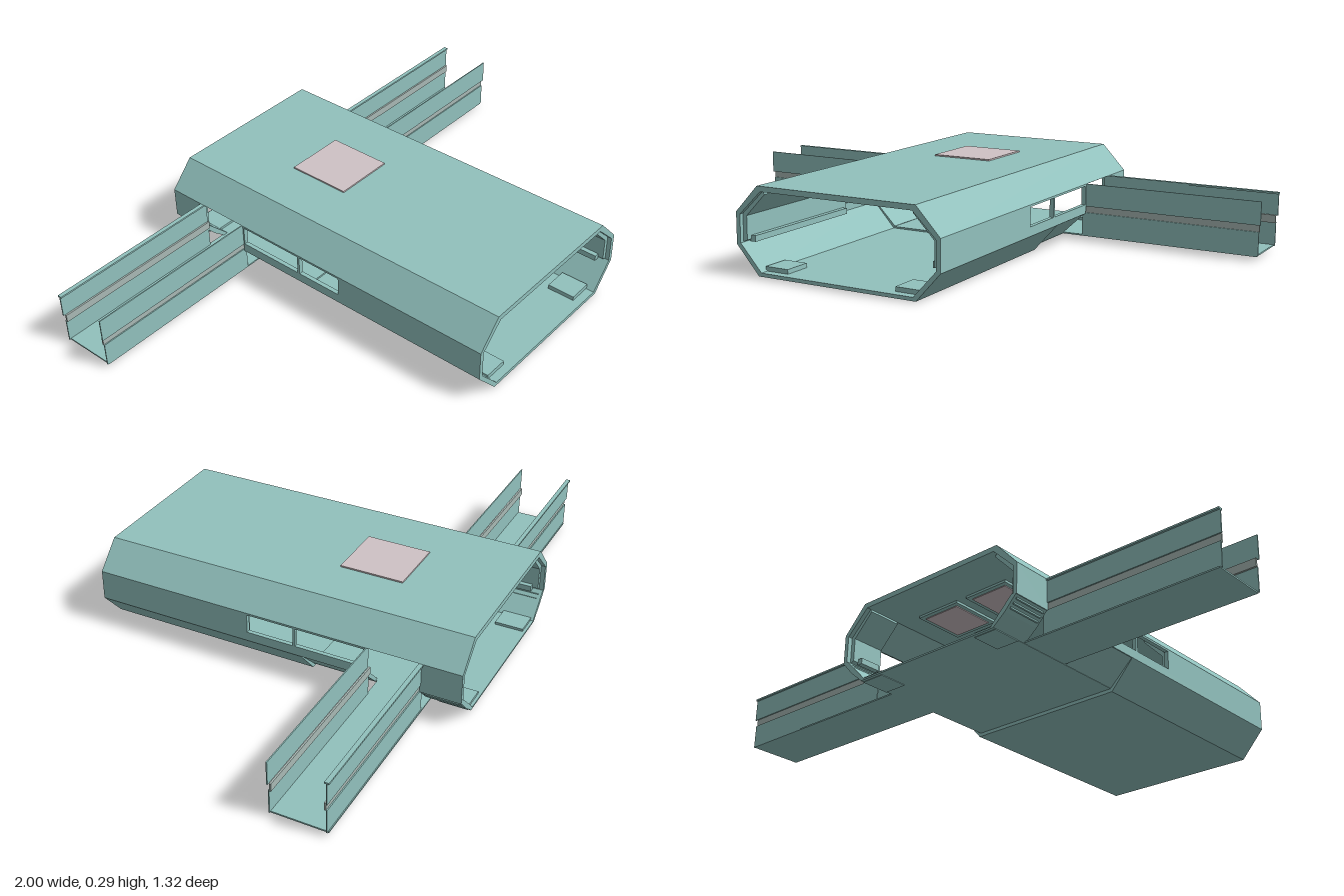
import * as THREE from 'three';

const mat = (color) => new THREE.MeshStandardMaterial({ color, flatShading: true, side: THREE.DoubleSide });
const teal = mat(0x91c1bd);
const pink = mat(0xcfc2c5);
const trim = mat(0xa9b9b5);

export function createModel() {
  const model = new THREE.Group();

  function add(name, geometry, material = teal, parent = model) {
    const mesh = new THREE.Mesh(geometry, material);
    mesh.name = name;
    parent.add(mesh);
    return mesh;
  }

  // Box given by its limits on each axis
  function block(name, [x0, x1], [y0, y1], [z0, z1], material, parent) {
    const g = new THREE.BoxGeometry(Math.abs(x1 - x0), y1 - y0, z1 - z0);
    g.translate((x0 + x1) / 2, (y0 + y1) / 2, (z0 + z1) / 2);
    return add(name, g, material, parent);
  }

  // Cross-section in x and y, run along z
  function prism(name, points, z0, z1, material, parent) {
    const shape = new THREE.Shape(points.map((p) => new THREE.Vector2(...p)));
    const g = new THREE.ExtrudeGeometry(shape, { depth: z1 - z0, bevelEnabled: false });
    g.translate(0, 0, z0);
    return add(name, g, material, parent);
  }

  // Side wall cut by holes, drawn in z and y, run along x
  function wall(name, z0, z1, y0, y1, x0, x1, holes, parent) {
    const rect = (Type, a, b, c, d) => new Type([[a, c], [b, c], [b, d], [a, d]].map((p) => new THREE.Vector2(...p)));
    const shape = rect(THREE.Shape, -z1, -z0, y0, y1);
    holes.forEach(([a, b, c, d]) => shape.holes.push(rect(THREE.Path, -b, -a, c, d)));
    const g = new THREE.ExtrudeGeometry(shape, { depth: x1 - x0, bevelEnabled: false });
    g.rotateY(Math.PI / 2).translate(x0, 0, 0);
    return add(name, g, teal, parent);
  }

  // Roof and floor of the main passage
  block('roof', [-0.29, 0.29], [0.272, 0.29], [-0.66, 0.66]);
  block('frontFloor', [-0.29, 0.29], [0, 0.012], [-0.105, 0.66]);
  block('rearFloor', [-0.285, 0.285], [0.012, 0.018], [-0.66, -0.105]);
  block('roofPanel', [-0.108, 0.108], [0.288, 0.295], [-0.335, -0.11], pink);

  // Ceiling frames with inset panels
  for (const s of [-1, 1]) {
    block('ceilingFrame', [s * 0.02, s * 0.19], [0.264, 0.273], [-0.51, -0.33]);
    block('ceilingPanel', [s * 0.035, s * 0.175], [0.261, 0.266], [-0.495, -0.345], pink);
  }

  for (const side of [1, -1]) {
    const half = new THREE.Group();
    half.name = side > 0 ? 'leftSide' : 'rightSide';
    model.add(half);
    const mx = (pts) => pts.map(([x, y]) => [x * side, y]);
    const span = (a, b) => (side > 0 ? [a, b] : [-b, -a]);

    // Sloped panels above and below the side wall
    prism('upperSlope', mx([[0.29, 0.29], [0.375, 0.2], [0.36, 0.193], [0.278, 0.272]]), -0.66, 0.66, teal, half);
    prism('frontLowerSlope', mx([[0.375, 0.095], [0.29, 0], [0.28, 0.012], [0.36, 0.1]]), -0.105, 0.66, teal, half);
    prism('midLowerSlope', mx([[0.372, 0.095], [0.285, 0.013], [0.275, 0.02], [0.355, 0.1]]), -0.33, -0.105, teal, half);
    prism('rearLowerSlope', mx([[0.372, 0.095], [0.33, 0.05], [0.285, 0.013], [0.275, 0.02], [0.355, 0.1]]), -0.66, -0.52, teal, half);
    for (let i = 0; i < 3; i++) {
      const y = 0.06 + i * 0.012;
      block('rearRib', span(0.32 + i * 0.011, 0.345 + i * 0.011), [y, y + 0.005], [-0.65, -0.53], teal, half);
    }

    // Side walls: windows in front, a doorway, then a short rear wall
    const [x0, x1] = span(0.36, 0.375);
    wall('windowWall', -0.33, 0.66, 0.095, 0.2, x0, x1,
      [[-0.075, 0.093, 0.127, 0.193], [-0.325, -0.084, 0.127, 0.193]], half);
    wall('rearWall', -0.66, -0.52, 0.095, 0.2, x0, x1, [], half);

    // Stepped inner liner
    for (const [z0, z1] of [[0.1, 0.645], [-0.645, -0.53]]) {
      prism('innerLiner', mx([[0.362, 0.195], [0.362, 0.1], [0.345, 0.108], [0.345, 0.187]]), z0, z1, teal, half);
      prism('upperLiner', mx([[0.345, 0.187], [0.362, 0.195], [0.278, 0.273], [0.272, 0.262]]), z0, z1, teal, half);
      block('wallClip', span(0.328, 0.348), [0.1, 0.12], [z0 + 0.02, z1 - 0.02], teal, half);
    }
    for (const z of [0.58, -0.6]) {
      block('floorBlock', span(0.2, 0.285), [0.01, 0.027], [z - 0.05, z + 0.05], teal, half);
    }

    // Open channel leading out from the doorway
    const arm = new THREE.Group();
    arm.name = 'sideChannel';
    half.add(arm);
    block('channelFloor', span(0.28, 0.99), [0.013, 0.018], [-0.525, -0.335], teal, arm);
    for (const [z, inward] of [[-0.335, -1], [-0.522, 1]]) {
      const strip = (name, y0, y1, off, thick, m) => {
        const a = z + inward * off, b = a + inward * thick;
        block(name, span(0.36, 0.995), [y0, y1], [Math.min(a, b), Math.max(a, b)], m, arm);
      };
      strip('channelLowerWall', 0.015, 0.097, 0, 0.004);
      strip('channelUpperWall', 0.12, 0.2, -0.002, 0.004);
      strip('channelGroove', 0.095, 0.122, 0.004, 0.006, trim);
      block('channelWallEnd', span(0.985, 1), [0.12, 0.2], [z - 0.002, z + 0.002], teal, arm);
    }
    // Thin lip along the top of the rear channel wall
    block('channelLip', span(0.37, 1), [0.194, 0.2], [-0.53, -0.515], teal, arm);
  }

  return model;
}
